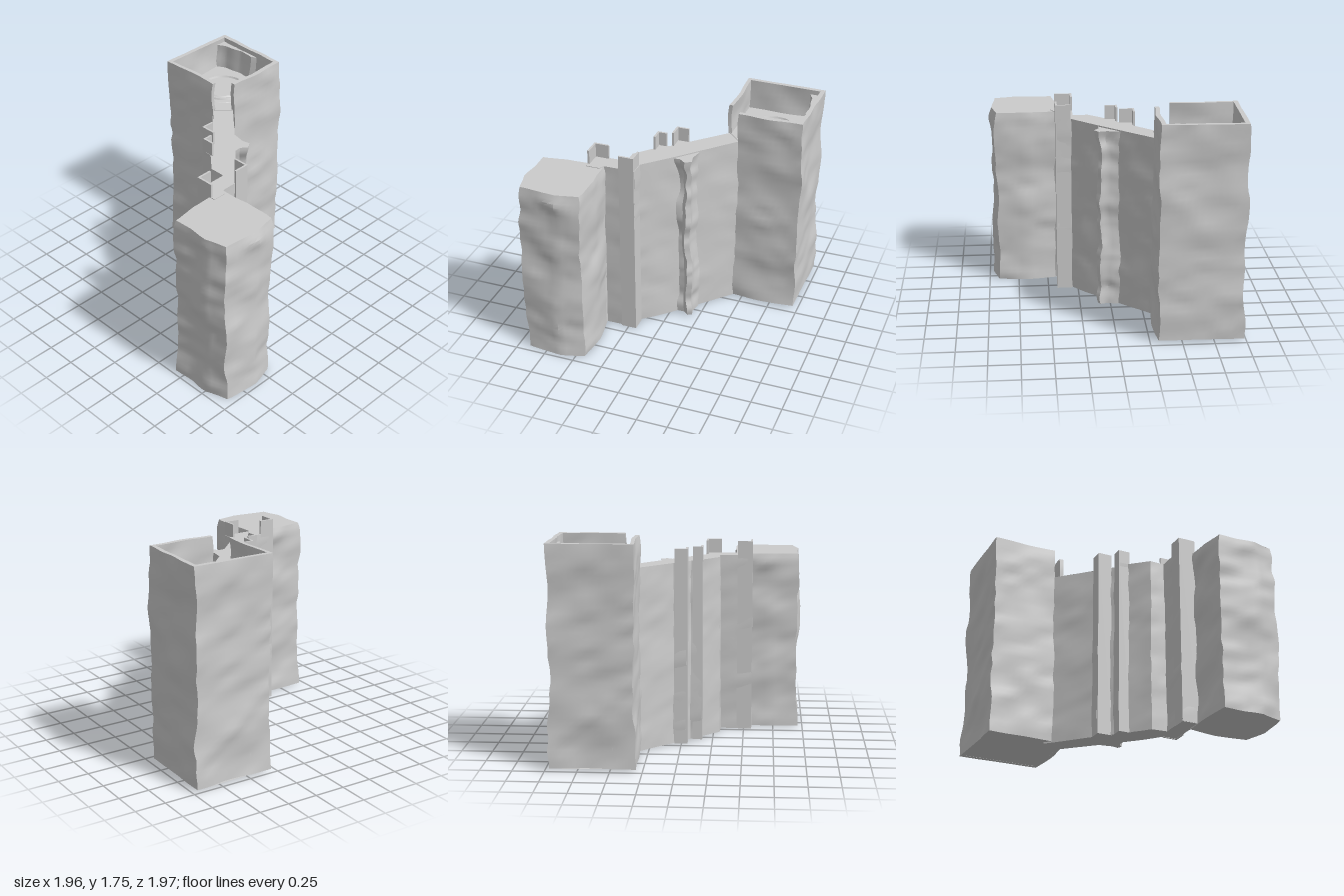
import * as THREE from 'three';
import { toCreasedNormals } from 'three/addons/utils/BufferGeometryUtils.js';

const stone = new THREE.MeshStandardMaterial({ color: 0xcccccc });

// Smooth value noise in -1..1
function hash(x, y, z) {
  const s = Math.sin(x * 127.1 + y * 311.7 + z * 74.7) * 43758.5453;
  return (s - Math.floor(s)) * 2 - 1;
}
function noise(x, y, z) {
  const [X, Y, Z] = [x, y, z].map(Math.floor);
  const [u, v, w] = [x - X, y - Y, z - Z].map(t => t * t * (3 - 2 * t));
  const mix = THREE.MathUtils.lerp;
  const row = (j, k) => mix(hash(X, Y + j, Z + k), hash(X + 1, Y + j, Z + k), u);
  return mix(mix(row(0, 0), row(1, 0), v), mix(row(0, 1), row(1, 1), v), w);
}
// Tilted rock strata: broad bulges plus narrower ledges
function strata(x, y, z, seed) {
  const t = y + 0.25 * x - 0.15 * z;
  return 0.6 * noise(x * 3 + seed, t * 4, z * 3) + 0.4 * noise(x * 6, t * 11 + seed, z * 6);
}

// Split each edge of a closed [x, z] outline into short steps, anticlockwise from above
function resample(outline, step) {
  let pts = outline.map(([x, z]) => new THREE.Vector2(x, -z));
  if (THREE.ShapeUtils.area(pts) < 0) pts.reverse();
  return pts.flatMap((p, i) => {
    const q = pts[(i + 1) % pts.length];
    const n = Math.max(1, Math.round(p.distanceTo(q) / step));
    return Array.from({ length: n }, (_, k) => p.clone().lerp(q, k / n));
  });
}

// Upright rock prism; profile(t) returns [scale, height drop] for each level
function roughPrism(name, outline, y0, y1, amp, { step = 0.05, rows = 36, profile = () => [1, 0] } = {}) {
  const ring = resample(outline, step);
  const n = ring.length;
  const mid = ring.reduce((a, p) => a.add(p), new THREE.Vector2()).divideScalar(n);
  const pos = [], index = [];
  for (let r = 0; r <= rows; r++) {
    const t = r / rows;
    const [scale, drop] = profile(t);
    const y = y0 + (y1 - y0) * t;
    for (const p of ring) {
      const x = mid.x + (p.x - mid.x) * scale, z = -(mid.y + (p.y - mid.y) * scale);
      pos.push(x + amp * strata(x, y, z, 3), y - drop, z + amp * strata(x, y, z, 17));
    }
    if (r === rows) break;
    for (let i = 0; i < n; i++) {
      const a = r * n + i, b = r * n + (i + 1) % n;
      index.push(a, b, b + n, a, b + n, a + n);
    }
  }
  const top = rows * n;
  for (const [a, b, c] of THREE.ShapeUtils.triangulateShape(ring, [])) {
    index.push(a, c, b, top + a, top + b, top + c);
  }
  const geo = new THREE.BufferGeometry();
  geo.setAttribute('position', new THREE.Float32BufferAttribute(pos, 3));
  geo.setIndex(index);
  const mesh = new THREE.Mesh(toCreasedNormals(geo, 0.45), stone);
  mesh.name = name;
  return mesh;
}

// Thin L-shaped slab wrapping a wall corner, running inward to (ex, ez)
function cornerSlab(cx, cz, ex, ez) {
  const t = 0.016, h = 1.605;
  const sx = Math.sign(ex - cx), sz = Math.sign(ez - cz);
  const shape = new THREE.Shape([
    [cx, cz], [ex, cz], [ex, cz + sz * t], [cx + sx * t, cz + sz * t], [cx + sx * t, ez], [cx, ez],
  ].map(([x, z]) => new THREE.Vector2(x, -z)));
  const geo = new THREE.ExtrudeGeometry(shape, { depth: h, bevelEnabled: false });
  geo.rotateX(-Math.PI / 2).translate(0, 0.005, 0);
  const mesh = new THREE.Mesh(geo, stone);
  mesh.name = 'cornerSlab';
  return mesh;
}

export function createModel() {
  const group = new THREE.Group();
  group.name = 'fortifiedWall';

  // Rounded, weathered rock tower
  group.add(roughPrism('rockTower', [
    [-0.95, 0.43], [-0.72, 0.41], [-0.43, 0.41], [-0.41, 0.66], [-0.43, 0.92],
    [-0.62, 0.97], [-0.92, 0.94], [-0.96, 0.76], [-0.94, 0.6],
  ], 0, 1.49, 0.035, {
    rows: 44,
    profile: t => [t > 0.96 ? 1.03 - (t - 0.96) * 1.2 : 0.99 + 0.04 * Math.max(0, t - 0.75) / 0.21, 0],
  }));

  // Stepped diagonal wall
  group.add(roughPrism('wall', [
    [0.36, -0.49], [0.32, -0.45], [0.06, -0.2], [-0.04, -0.2], [-0.04, -0.1], [-0.07, -0.07],
    [-0.16, -0.07], [-0.16, 0.01], [-0.3, 0.15], [-0.3, 0.28], [-0.56, 0.28], [-0.56, 0.46],
    [-0.45, 0.46], [-0.43, 0.42], [-0.18, 0.42], [-0.18, 0.3], [0.06, 0.06], [0.42, -0.32], [0.47, -0.37],
  ], 0.008, 1.495, 0.014));

  // Ragged rib on the wall face, flared at the top
  group.add(roughPrism('wallRib', [
    [0.03, 0.07], [0.1, 0.07], [0.14, 0.11], [0.18, 0.085], [0.17, 0.03], [0.19, -0.08], [0.08, -0.03],
  ], 0.008, 1.485, 0.04, {
    step: 0.03, rows: 60,
    profile: t => [0.93 + 0.22 * Math.max(0, t - 0.93) / 0.07 + (t > 0.28 && t < 0.5 ? 0.08 : 0), 0],
  }));

  // Raised slabs at the wall steps
  for (const c of [
    [-0.565, 0.275, -0.44, 0.42], [-0.18, 0.425, -0.305, 0.3],
    [-0.165, -0.075, -0.085, 0.025], [-0.05, -0.205, 0.055, -0.085],
  ]) group.add(cornerSlab(...c));

  // Square tower shell, open at the corner where the wall meets it
  const tower = new THREE.Group();
  tower.name = 'squareTower';
  tower.add(roughPrism('towerShell', [
    [0.31, -0.44], [0.31, -0.97], [0.96, -0.975], [0.96, -0.31], [0.43, -0.31],
    [0.43, -0.345], [0.925, -0.345], [0.925, -0.94], [0.34, -0.935], [0.34, -0.44],
  ], 0.02, 1.75, 0.026));

  // Solid core whose top is the sunken floor
  tower.add(roughPrism('towerFloor', [
    [0.325, -0.44], [0.325, -0.955], [0.94, -0.955], [0.94, -0.33], [0.43, -0.33],
  ], 0.021, 1.5, 0.02, { rows: 4 }));

  // Low round ring pattern on the floor
  const rings = [[0, 0.012], [0.145, 0.012], [0.155, 0.004], [0.175, 0.004], [0.182, 0.018],
    [0.195, 0.018], [0.202, 0.005], [0.235, 0.004], [0.245, -0.005]];
  const disc = new THREE.Mesh(toCreasedNormals(new THREE.LatheGeometry(
    rings.map(([r, y]) => new THREE.Vector2(r, y)).reverse(), 48), 0.4), stone);
  disc.name = 'floorRings';
  disc.material = stone.clone();
  disc.material.side = THREE.DoubleSide;
  disc.position.set(0.62, 1.5, -0.64);
  tower.add(disc);

  // Crumbled stone along the inner side
  tower.add(roughPrism('rubble', [
    [0.84, -0.94], [0.93, -0.94], [0.93, -0.55], [0.9, -0.6], [0.91, -0.72], [0.89, -0.8], [0.88, -0.88],
  ], 1.49, 1.71, 0.03, { step: 0.03, rows: 8 }));
  group.add(tower);

  return group;
}
